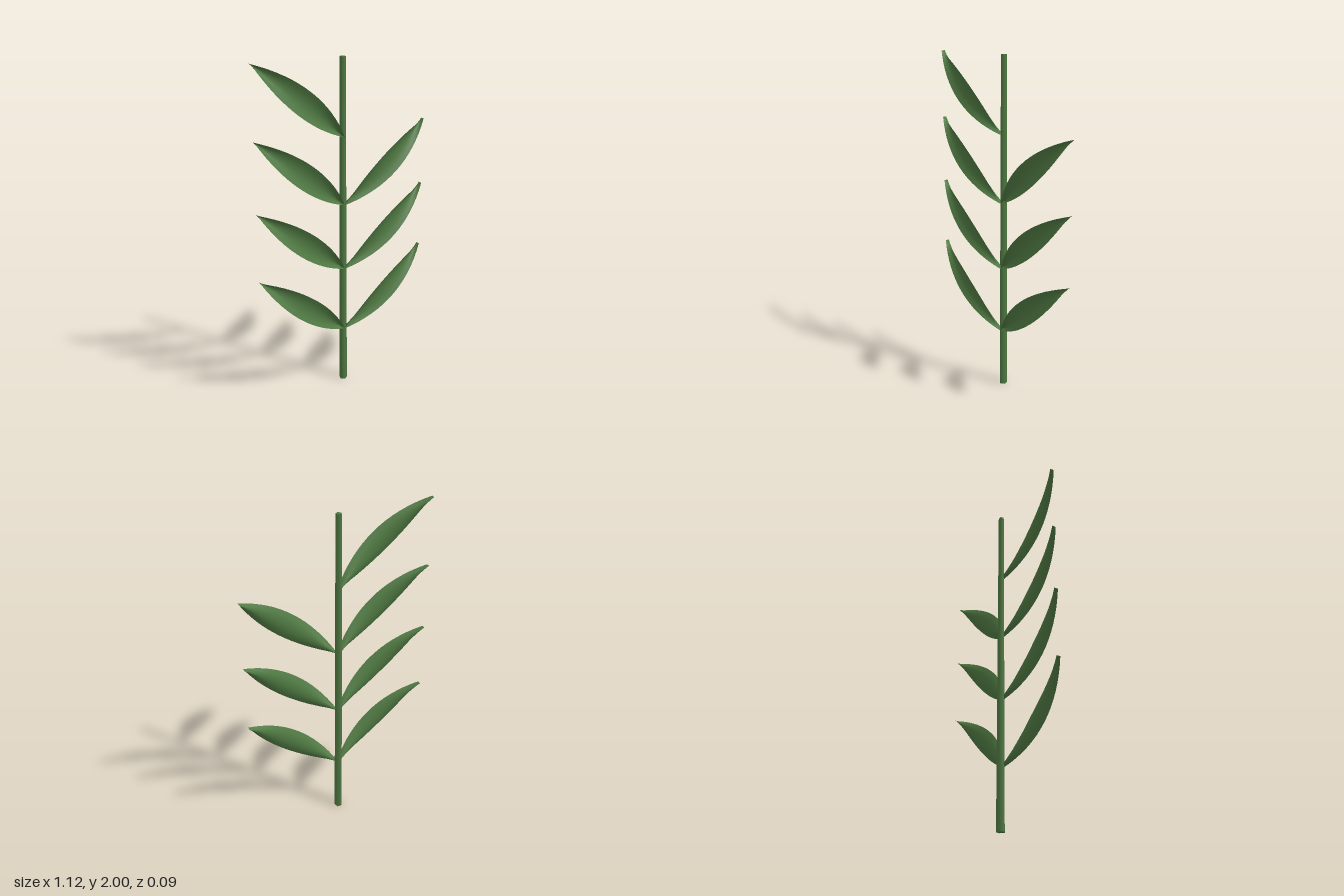
import * as THREE from 'three';

const LENGTH = 0.715, HALF_WIDTH = 0.07, CUP = 0.024, BOW = 0.051;

// Leaf blade along +x: a thin sheet pointed at both ends, bowed towards +z,
// with a trough-shaped cross-section whose edges stand forward
function leafGeometry() {
  const geometry = new THREE.PlaneGeometry(1, 2, 16, 6);
  const p = geometry.attributes.position;
  for (let i = 0; i < p.count; i++) {
    const t = p.getX(i) + 0.5, v = p.getY(i);
    const arch = 4 * t * (1 - t);
    p.setXYZ(i, t * LENGTH, v * HALF_WIDTH * arch, BOW * arch + CUP * (v * v - 0.5));
  }
  geometry.computeVertexNormals();
  return geometry;
}

export function createModel() {
  const group = new THREE.Group();
  group.name = 'leafyStalk';
  const color = 0x4f7942;

  // Tapered five-sided stem
  const stem = new THREE.Mesh(
    new THREE.CylinderGeometry(0.0175, 0.025, 2, 5),
    new THREE.MeshStandardMaterial({ color })
  );
  stem.name = 'stem';
  stem.position.set(0, 1, -0.027);
  group.add(stem);

  // Leaf pairs up the stem; the topmost leaf stands alone on the right
  const blade = leafGeometry();
  const leafMaterial = new THREE.MeshStandardMaterial({ color, side: THREE.DoubleSide });
  const tilt = Math.atan2(0.443, 0.561);
  const addLeaf = (name, y, angle) => {
    const leaf = new THREE.Mesh(blade, leafMaterial);
    leaf.name = name;
    leaf.position.set(0, y, -0.017);
    leaf.rotation.z = angle;
    group.add(leaf);
  };
  for (let i = 0; i < 4; i++) {
    const y = 0.357 + 0.4 * i;
    addLeaf(`rightLeaf${i + 1}`, y, Math.PI - tilt);
    if (i < 3) addLeaf(`leftLeaf${i + 1}`, y, tilt);
  }
  return group;
}
